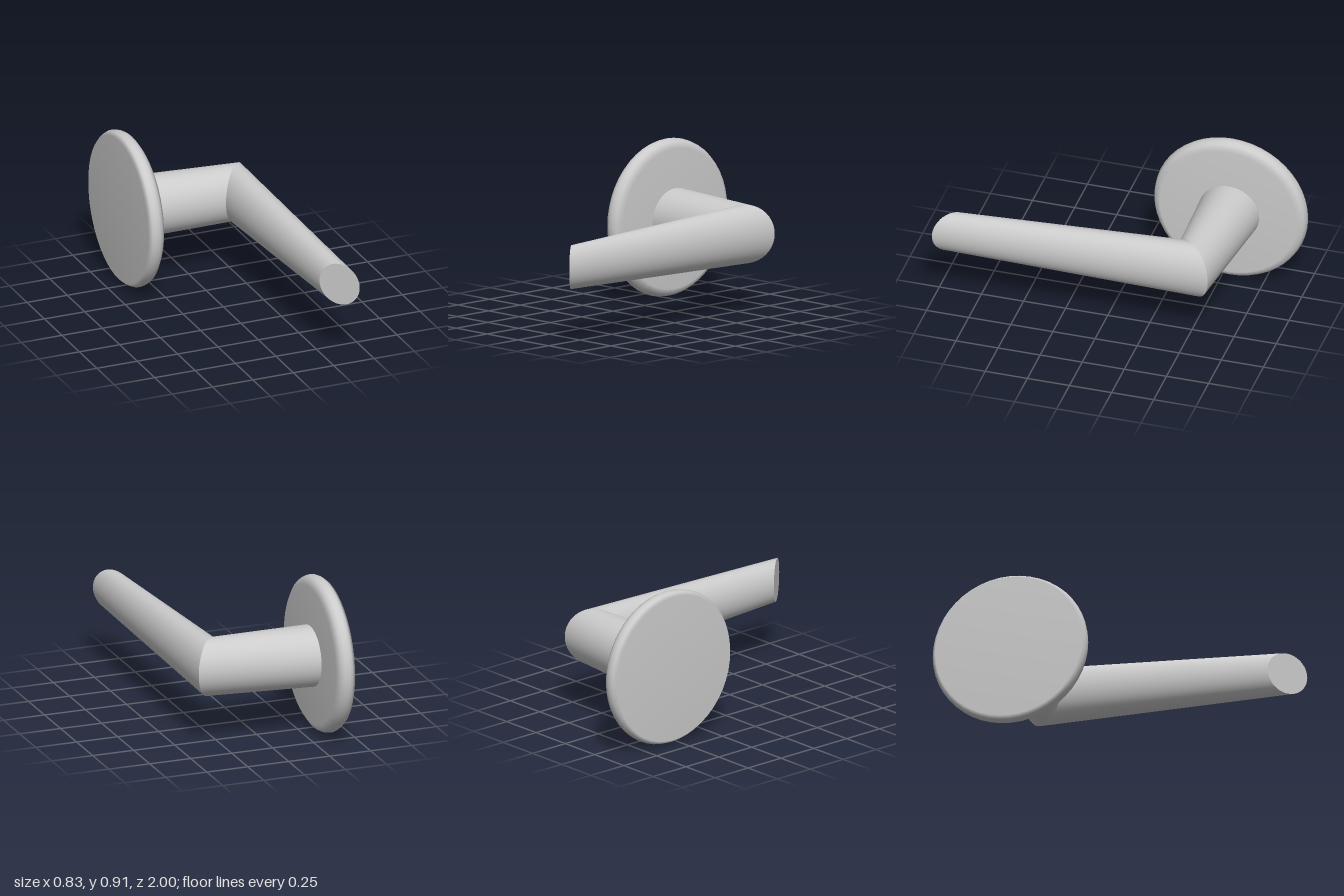
import * as THREE from 'three';

const SIDES = 40;
const CY = 0.455, CZ = -0.545;
const material = new THREE.MeshStandardMaterial({ color: 0xcccccc });

// Elliptical section: outer and inner edge given as [x, z], plus half height
function ring({ outer, inner, h }) {
  const points = [];
  const cx = (outer[0] + inner[0]) / 2, cz = (outer[1] + inner[1]) / 2;
  for (let i = 0; i < SIDES; i++) {
    const a = (i / SIDES) * Math.PI * 2, c = Math.cos(a);
    points.push(cx + (outer[0] - cx) * c, CY - 0.003 + h * Math.sin(a), cz + (outer[1] - cz) * c);
  }
  return points;
}

function toMesh(name, positions, index) {
  const g = new THREE.BufferGeometry();
  g.setAttribute('position', new THREE.Float32BufferAttribute(positions, 3));
  g.setIndex(index);
  g.computeVertexNormals();
  const mesh = new THREE.Mesh(g, material);
  mesh.name = name;
  return mesh;
}

// Skin between two sections
function loft(name, a, b) {
  const index = [];
  for (let i = 0; i < SIDES; i++) {
    const j = (i + 1) % SIDES;
    index.push(i, j, SIDES + j, i, SIDES + j, SIDES + i);
  }
  return toMesh(name, [...ring(a), ...ring(b)], index);
}

// Flat lid over a section
function cap(name, s) {
  const index = [];
  for (let i = 1; i < SIDES - 1; i++) index.push(0, i, i + 1);
  return toMesh(name, ring(s), index);
}

export function createModel() {
  const group = new THREE.Group();
  group.name = 'doorHandle';

  // Round wall plate with a softened rim
  const profile = [
    [0, -0.415], [0.43, -0.415], [0.447, -0.395], [0.455, -0.375],
    [0.451, -0.35], [0.44, -0.33], [0.405, -0.307], [0, -0.307],
  ].map(([r, x]) => new THREE.Vector2(r, x));
  const plate = new THREE.Mesh(new THREE.LatheGeometry(profile, 48), material);
  plate.name = 'wallPlate';
  plate.rotation.z = -Math.PI / 2;
  plate.position.set(0, CY, CZ);
  group.add(plate);

  // Neck and lever share a mitred section at the bend; the tip is cut at an angle
  const root = { outer: [-0.31, -0.73], inner: [-0.31, -0.37], h: 0.179 };
  const bend = { outer: [0.408, -0.641], inner: [0.185, -0.39], h: 0.17 };
  const tip = { outer: [0.413, 0.995], inner: [0.246, 0.805], h: 0.125 };
  group.add(loft('neck', root, bend), loft('lever', bend, tip), cap('leverTip', tip));

  return group;
}
